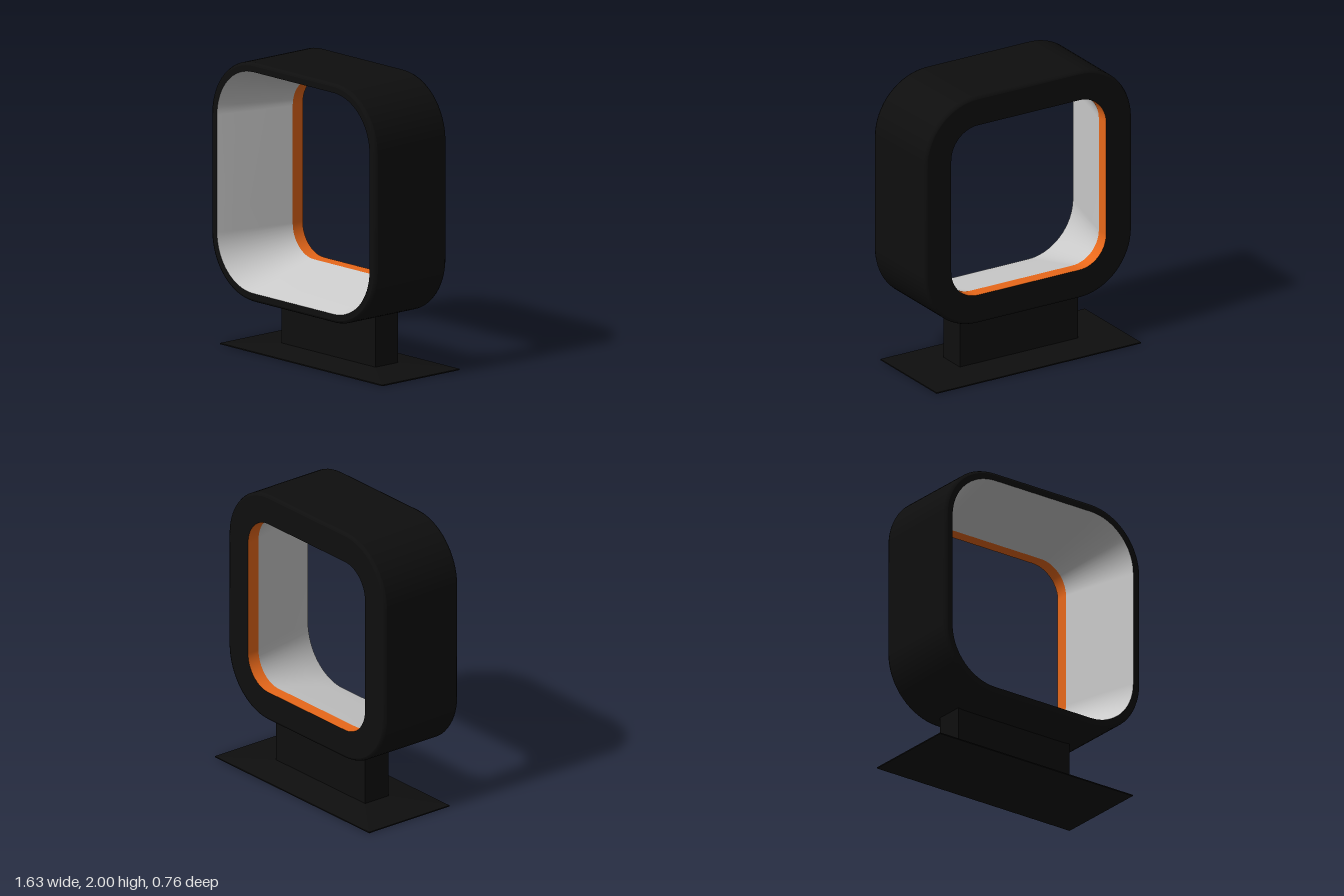
import * as THREE from 'three';

const black = new THREE.MeshStandardMaterial({ color: 0x0e0e0e });
const grey = new THREE.MeshStandardMaterial({ color: 0xcccccc });
const orange = new THREE.MeshStandardMaterial({ color: 0xe8681a });

const CENTRE_Y = 1.185; // middle of the square ring
const CORNER = 0.4; // offset of the shared corner-arc centres
const STEPS = 16; // segments per rounded corner

// Rounded square of a given half width at depth z, counter-clockwise from the front
function roundedLoop(half, z) {
  const points = [];
  const r = half - CORNER;
  for (let q = 0; q < 4; q++) {
    const mid = Math.PI / 4 + q * Math.PI / 2;
    const cx = Math.sign(Math.cos(mid)) * CORNER;
    const cy = Math.sign(Math.sin(mid)) * CORNER;
    for (let i = 0; i <= STEPS; i++) {
      const a = (q + i / STEPS) * Math.PI / 2;
      points.push(cx + r * Math.cos(a), CENTRE_Y + cy + r * Math.sin(a), z);
    }
  }
  return points;
}

// Skin through loops given as [half width, z]; smooth within one skin
function loft(profile) {
  const positions = profile.flatMap(([half, z]) => roundedLoop(half, z));
  const n = 4 * (STEPS + 1);
  const index = [];
  for (let i = 0; i < profile.length - 1; i++) {
    for (let j = 0; j < n; j++) {
      const k = (j + 1) % n;
      const a = i * n + j, b = i * n + k;
      index.push(a, b, a + n, b, b + n, a + n);
    }
  }
  const geometry = new THREE.BufferGeometry();
  geometry.setAttribute('position', new THREE.Float32BufferAttribute(positions, 3));
  geometry.setIndex(index);
  geometry.computeVertexNormals();
  return geometry;
}

function addMesh(parent, name, geometry, material) {
  const mesh = new THREE.Mesh(geometry, material);
  mesh.name = name;
  parent.add(mesh);
  return mesh;
}

export function createModel() {
  const model = new THREE.Group();
  model.name = 'squareRingOnStand';

  // Outer casing, with small bevels at both rims
  const casing = new THREE.Group();
  casing.name = 'casing';
  model.add(casing);
  addMesh(casing, 'outerWall', loft([[0.815, -0.235], [0.815, 0.36]]), black);
  addMesh(casing, 'frontBevel', loft([[0.815, 0.36], [0.808, 0.374], [0.795, 0.38]]), black);
  addMesh(casing, 'frontRim', loft([[0.795, 0.38], [0.755, 0.38]]), black);
  addMesh(casing, 'backFace', loft([[0.61, -0.255], [0.795, -0.255]]), black);
  addMesh(casing, 'backBevel', loft([[0.795, -0.255], [0.808, -0.25], [0.815, -0.235]]), black);

  // Tapering lining and the coloured band behind it
  addMesh(model, 'innerLining', loft([[0.755, 0.38], [0.71, 0.23], [0.61, -0.165]]), grey);
  addMesh(model, 'accentBand', loft([[0.61, -0.165], [0.61, -0.255]]), orange);

  // Neck
  const neck = addMesh(model, 'neck', new THREE.BoxGeometry(0.93, 0.38, 0.2), black);
  neck.position.set(0, 0.215, -0.035);

  // Thin foot plate: an edge slab with a gently sloping top
  const foot = new THREE.Group();
  foot.name = 'foot';
  foot.position.z = -0.035;
  model.add(foot);
  const slab = addMesh(foot, 'footEdge', new THREE.BoxGeometry(1.61, 0.008, 0.69), black);
  slab.position.y = 0.004;
  const slope = new THREE.BoxGeometry(1.61, 0.022, 0.69).toNonIndexed();
  const p = slope.attributes.position;
  for (let i = 0; i < p.count; i++) {
    if (p.getY(i) > 0) {
      p.setX(i, Math.sign(p.getX(i)) * 0.465);
      p.setZ(i, Math.sign(p.getZ(i)) * 0.1);
    }
  }
  slope.computeVertexNormals();
  addMesh(foot, 'footSlope', slope, black).position.y = 0.019;

  return model;
}
